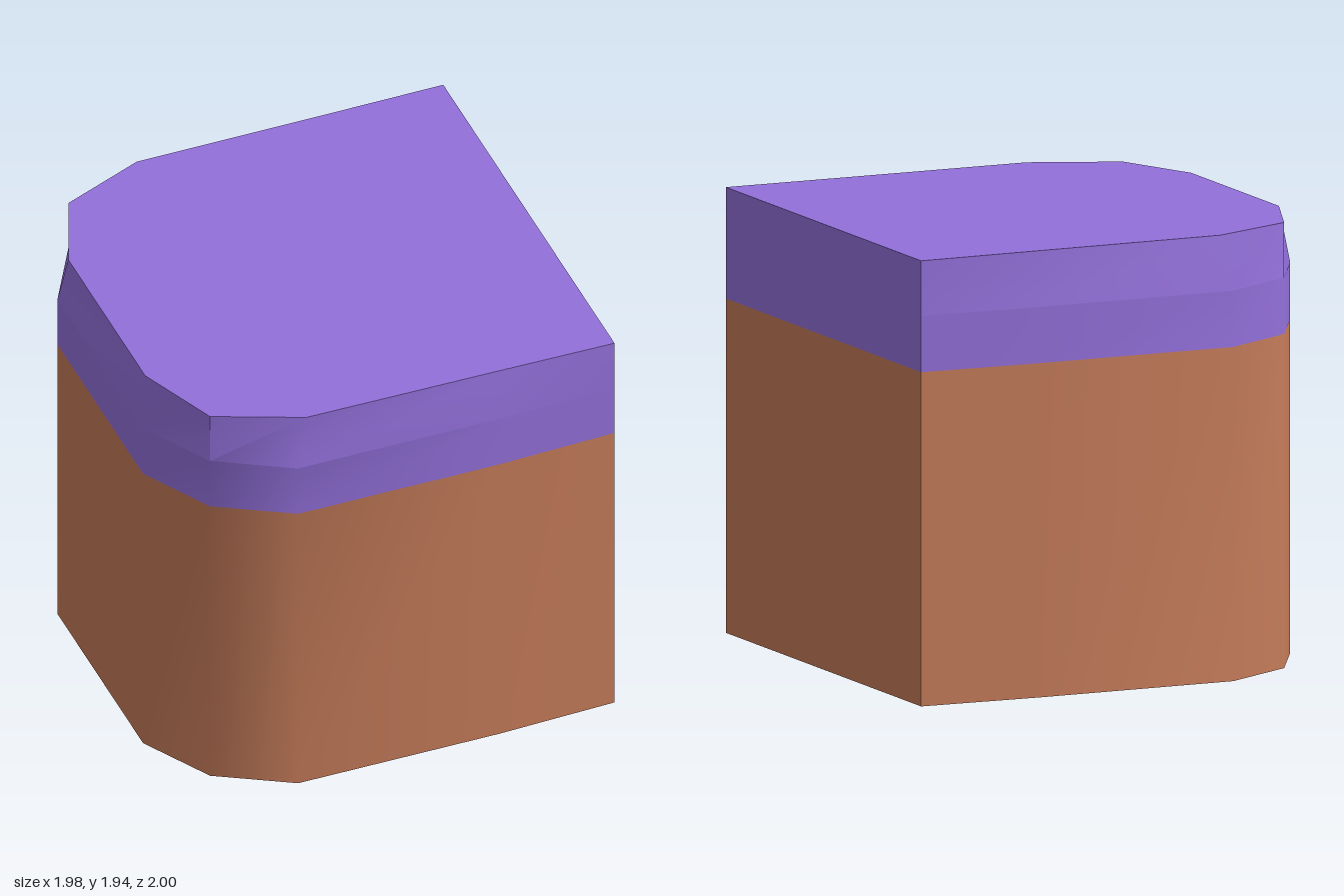
import * as THREE from 'three';
import { toCreasedNormals } from 'three/addons/utils/BufferGeometryUtils.js';

// Outline from the square corner round to the rounded side, mirrored across z
function outline(half, y) {
  const back = half.slice().reverse().map(([x, z]) => [x, -z]);
  return [...half, ...back].map(([x, z]) => [x, y, z]);
}

// Skin between two outlines, optionally closed at the bottom or top
function loft(lower, upper, cap) {
  const n = lower.length;
  const pos = [];
  for (let i = 0; i < n; i++) {
    const j = (i + 1) % n;
    pos.push(...lower[i], ...upper[i], ...lower[j]);
    pos.push(...lower[j], ...upper[i], ...upper[j]);
    if (cap === 'bottom') pos.push(0, lower[0][1], 0, ...lower[i], ...lower[j]);
    if (cap === 'top') pos.push(0, upper[0][1], 0, ...upper[j], ...upper[i]);
  }
  const geo = new THREE.BufferGeometry();
  geo.setAttribute('position', new THREE.Float32BufferAttribute(pos, 3));
  return toCreasedNormals(geo, 0.6);
}

export function createModel() {
  const clay = new THREE.MeshStandardMaterial({ color: 0xc67c5a });
  clay.name = 'clay';
  const purple = new THREE.MeshStandardMaterial({ color: 0x9370db });
  purple.name = 'purple';

  // Half outlines at body, seam and lid top
  const bodyHalf = [[0.99, 0.98], [0.45, 1], [-0.48, 1], [-0.81, 0.81], [-0.99, 0.49]];
  const seamHalf = [[0.99, 0.98], [0.5, 1], [-0.48, 1], [-0.81, 0.81], [-0.99, 0.49]];
  const topHalf = [[0.99, 0.98], [0.45, 0.975], [-0.43, 0.97], [-0.81, 0.81], [-0.96, 0.44]];

  const base = outline(bodyHalf, 0);
  const paintLine = outline(bodyHalf, 1.455);
  const seam = outline(seamHalf, 1.7);
  const top = outline(topHalf, 1.94);

  const group = new THREE.Group();
  const add = (name, geo, mat) => {
    const mesh = new THREE.Mesh(geo, mat);
    mesh.name = name;
    group.add(mesh);
  };
  add('body', loft(base, paintLine, 'bottom'), clay);
  add('rimBand', loft(paintLine, seam), purple);
  add('lid', loft(seam, top, 'top'), purple);
  return group;
}
